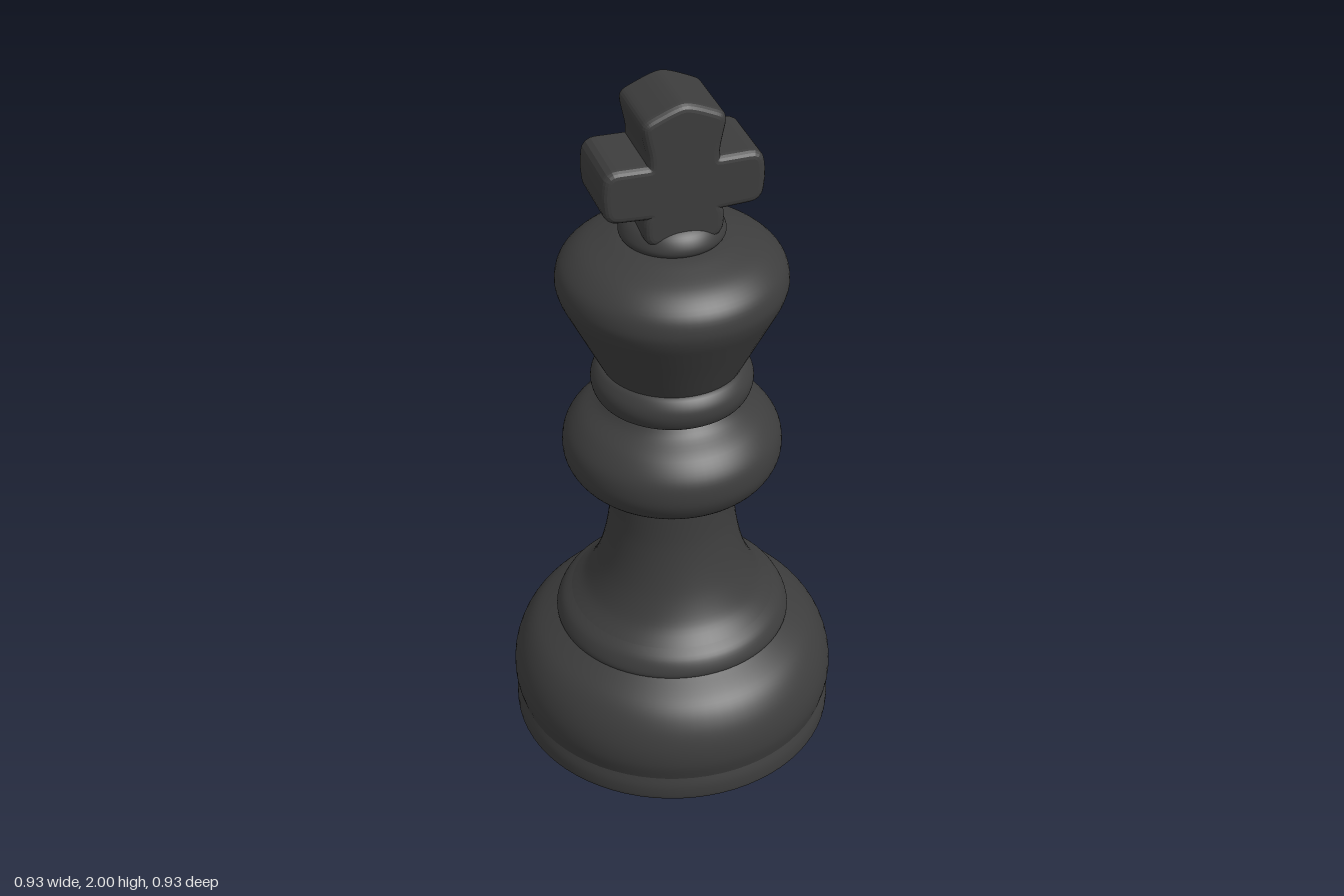
import * as THREE from 'three';

export function createModel() {
  const model = new THREE.Group();
  const ebony = new THREE.MeshStandardMaterial({ color: 0x3d3d3d });
  ebony.name = 'ebony';

  function add(name, geometry) {
    const mesh = new THREE.Mesh(geometry, ebony);
    mesh.name = name;
    model.add(mesh);
    return mesh;
  }

  // Smooth turned section from [radius, height] points, bottom to top
  function turned(name, profile, steps = 28) {
    const curve = new THREE.SplineCurve(profile.map(([r, y]) => new THREE.Vector2(r, y)));
    add(name, new THREE.LatheGeometry(curve.getPoints(steps), 72));
  }

  // Flat underside
  const underside = add('underside', new THREE.CircleGeometry(0.455, 72));
  underside.rotation.x = Math.PI / 2;
  underside.position.y = 0.002;

  // Base, step and stem
  turned('foot', [[0.455, 0], [0.46, 0.01], [0.46, 0.045], [0.452, 0.075]], 10);
  turned('baseBulge', [[0.452, 0.075], [0.463, 0.13], [0.458, 0.19], [0.435, 0.25], [0.395, 0.3], [0.325, 0.345]]);
  turned('baseStep', [[0.315, 0.335], [0.332, 0.345], [0.331, 0.365], [0.315, 0.395], [0.285, 0.42]], 16);
  turned('stem', [[0.29, 0.416], [0.25, 0.457], [0.217, 0.52], [0.195, 0.59], [0.18, 0.67], [0.175, 0.74], [0.174, 0.83]]);

  // Large and small collars
  turned('largeCollar', [[0.165, 0.805], [0.205, 0.817], [0.265, 0.855], [0.295, 0.9], [0.301, 0.945],
    [0.29, 0.99], [0.255, 1.035], [0.205, 1.07], [0.185, 1.09]], 36);
  turned('neck', [[0.187, 1.07], [0.182, 1.1], [0.185, 1.12]], 6);
  turned('smallCollar', [[0.175, 1.092], [0.205, 1.105], [0.219, 1.135], [0.217, 1.165], [0.2, 1.192], [0.18, 1.202]], 24);

  // Flared head with a domed top
  turned('head', [[0.187, 1.19], [0.2, 1.215], [0.237, 1.29], [0.277, 1.37], [0.3, 1.42], [0.307, 1.46],
    [0.293, 1.505], [0.25, 1.545], [0.19, 1.57], [0.12, 1.587], [0, 1.592]], 44);
  turned('finialCollar', [[0.115, 1.572], [0.137, 1.59], [0.138, 1.61], [0.12, 1.638], [0.085, 1.655], [0, 1.662]], 24);

  // Cross outline, mirrored; the bevel adds its width all round
  const bevel = 0.02;
  const half = [[0.085, 1.63], [0.088, 1.68], [0.075, 1.708], [0.19, 1.714], [0.196, 1.77],
    [0.19, 1.822], [0.075, 1.82], [0.074, 1.865], [0.09, 1.94], [0.085, 1.947], [0.03, 1.971]];
  const outline = [...half, [0, 1.98], ...half.map(([x, y]) => [-x, y]).reverse()];
  const points = outline.map(([x, y]) => new THREE.Vector2(x, y));

  // Slightly rounded corners
  const shape = new THREE.Shape();
  const n = points.length;
  points.forEach((p, i) => {
    const before = points[(i + n - 1) % n];
    const after = points[(i + 1) % n];
    const round = (q) => p.clone().lerp(q, Math.min(0.4, 0.018 / p.distanceTo(q)));
    const a = round(before);
    const b = round(after);
    if (i === 0) shape.moveTo(a.x, a.y);
    else shape.lineTo(a.x, a.y);
    shape.quadraticCurveTo(p.x, p.y, b.x, b.y);
  });
  shape.closePath();
  const depth = 0.218 - 2 * bevel;
  const cross = new THREE.ExtrudeGeometry(shape, {
    depth, bevelEnabled: true, bevelSize: bevel, bevelThickness: bevel, bevelSegments: 4, curveSegments: 4,
  });
  cross.translate(0, 0, -depth / 2);
  add('cross', cross);

  return model;
}
